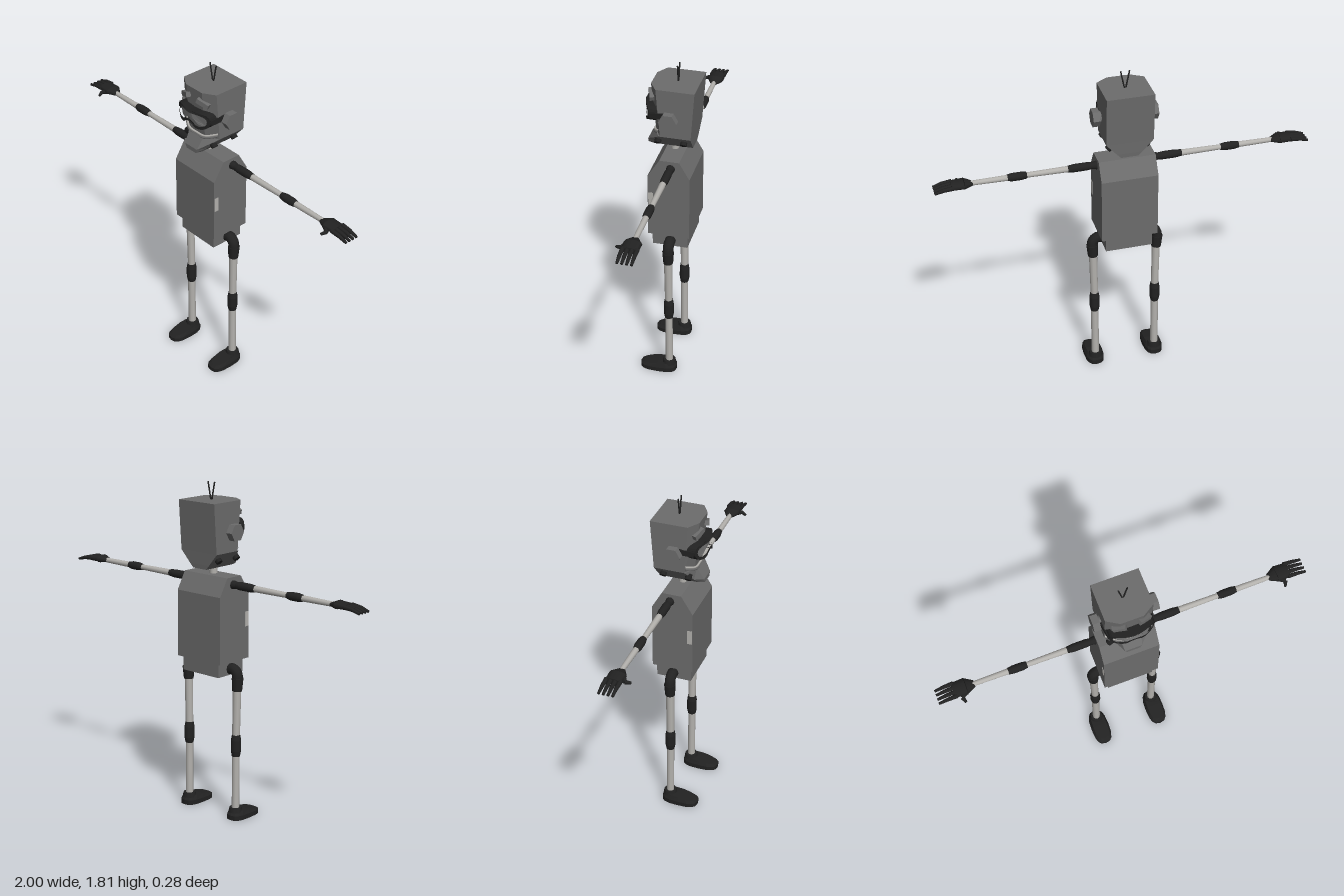
import * as THREE from 'three';

const mat = (name, color) => {
  const m = new THREE.MeshStandardMaterial({ color });
  m.name = name;
  return m;
};

// Closed solid from stacked rings, counterclockwise from above, bottom first
function loft(rings) {
  const pos = [];
  const tri = (a, b, c) => pos.push(...a, ...b, ...c);
  const n = rings[0].length;
  for (let r = 0; r < rings.length - 1; r++) {
    const a = rings[r], b = rings[r + 1];
    for (let i = 0; i < n; i++) {
      const j = (i + 1) % n;
      tri(a[i], a[j], b[j]);
      tri(a[i], b[j], b[i]);
    }
  }
  const top = rings[rings.length - 1], bottom = rings[0];
  for (let i = 1; i < n - 1; i++) {
    tri(top[0], top[i], top[i + 1]);
    tri(bottom[0], bottom[i + 1], bottom[i]);
  }
  const g = new THREE.BufferGeometry();
  g.setAttribute('position', new THREE.Float32BufferAttribute(pos, 3));
  g.computeVertexNormals();
  return g;
}

export function createModel() {
  const model = new THREE.Group();
  model.name = 'robot';
  const grey = mat('bodyGrey', 0x6c6c6c);
  const dark = mat('rubberBlack', 0x222222);
  const light = mat('limbSilver', 0xb4b2ae);

  const add = (name, geo, material) => {
    const m = new THREE.Mesh(geo, material);
    m.name = name;
    model.add(m);
    return m;
  };
  const box = (name, w, h, d, x, y, z, material) => {
    const m = add(name, new THREE.BoxGeometry(w, h, d), material);
    m.position.set(x, y, z);
    return m;
  };
  // Tapered round bar from a to b; flat squashes its section
  const rod = (name, a, b, ra, rb, material, flat = 1, sides = 10) => {
    const p = new THREE.Vector3(...a), q = new THREE.Vector3(...b);
    const d = q.clone().sub(p);
    const g = new THREE.CylinderGeometry(rb, ra, d.length(), sides);
    g.scale(flat, 1, 1);
    const m = add(name, g, material);
    m.position.copy(p).add(q).multiplyScalar(0.5);
    m.quaternion.setFromUnitVectors(new THREE.Vector3(0, 1, 0), d.normalize());
    return m;
  };
  // Sleeve with bevelled ends
  const sleeve = (name, a, b, r) => {
    const p = new THREE.Vector3(...a), q = new THREE.Vector3(...b);
    const at = (t) => p.clone().lerp(q, t).toArray();
    rod(name + 'Start', a, at(0.25), r * 0.8, r, dark);
    rod(name, at(0.25), at(0.75), r, r, dark);
    rod(name + 'End', at(0.75), b, r, r * 0.8, dark);
  };

  // Torso: bevelled shoulders, extruded across
  const profile = new THREE.Shape([[-0.098, 0.875], [0.125, 0.875], [0.125, 1.235], [0.07, 1.33], [-0.035, 1.33], [-0.098, 1.23]]
    .map(([x, y]) => new THREE.Vector2(x, y)));
  const torso = new THREE.ExtrudeGeometry(profile, { depth: 0.304, bevelEnabled: false });
  torso.translate(0, 0, -0.152).rotateY(Math.PI / 2);
  add('torso', torso, grey);
  box('pelvis', 0.254, 0.08, 0.19, 0, 0.838, -0.015, grey);
  rod('neck', [0, 1.31, -0.01], [0, 1.42, -0.01], 0.021, 0.021, light);

  // Head with a faceted face and a tapering, jutting jaw
  const section = (y, w, c, back, side, front) => [
    [w, y, side], [w, y, back], [-w, y, back], [-w, y, side], [-c, y, front], [c, y, front]];
  add('jaw', loft([
    section(1.367, 0.046, 0.035, -0.116, 0.09, 0.122),
    section(1.39, 0.067, 0.045, -0.118, 0.075, 0.122),
    section(1.455, 0.125, 0.055, -0.122, 0.045, 0.085)]), grey);
  add('head', loft([
    section(1.455, 0.125, 0.055, -0.122, 0.038, 0.075),
    section(1.72, 0.125, 0.06, -0.14, 0.06, 0.1)]), grey);

  // Smile
  const smile = (dy, dz) => new THREE.CatmullRomCurve3(
    [[-0.123, 1.487, 0.045], [-0.06, 1.463, 0.08], [0, 1.458, 0.081], [0.06, 1.463, 0.08], [0.123, 1.487, 0.045]]
      .map(([x, y, z]) => new THREE.Vector3(x, y + dy, z + dz)));
  add('teeth', new THREE.TubeGeometry(smile(0, 0), 16, 0.006, 6), light);
  add('lip', new THREE.TubeGeometry(smile(-0.011, 0.002), 16, 0.006, 6), grey);

  // Goggles: bent frame and lens
  const outline = (half) => {
    const pts = [...half, ...half.slice(1, -1).reverse().map(([x, y]) => [-x, y])];
    return new THREE.CatmullRomCurve3(pts.map(([x, y]) => new THREE.Vector3(x, y, 0)), true)
      .getPoints(48).slice(0, -1).map((p) => new THREE.Vector2(p.x, p.y));
  };
  const bend = (g, z) => {
    const p = g.attributes.position;
    for (let i = 0; i < p.count; i++) p.setZ(i, p.getZ(i) + z - 0.04 * (p.getX(i) / 0.118) ** 2);
    g.computeVertexNormals();
    return g;
  };
  const outer = outline([[0, 1.612], [0.07, 1.615], [0.112, 1.6], [0.118, 1.56], [0.09, 1.528], [0.045, 1.525], [0.02, 1.543], [0, 1.549]]);
  const inner = outline([[0, 1.599], [0.07, 1.601], [0.1, 1.589], [0.103, 1.561], [0.084, 1.542], [0.05, 1.54], [0.027, 1.557], [0, 1.563]]);
  const frame = new THREE.Shape(outer);
  frame.holes.push(new THREE.Path(inner));
  add('goggleFrame', bend(new THREE.ExtrudeGeometry(frame, { depth: 0.045, bevelEnabled: false }), 0.093), dark);
  add('goggleLens', bend(new THREE.ExtrudeGeometry(new THREE.Shape(inner), { depth: 0.005, bevelEnabled: false }), 0.118), grey);

  // Foot outline scaled by k, top dropping toward the toe
  const footRing = (k, y, drop) => Array.from({ length: 16 }, (_, i) => {
    const a = (i / 16) * Math.PI * 2;
    const round = (v) => Math.sign(v) * Math.abs(v) ** 0.7;
    const z = -round(Math.sin(a));
    return [0.052 * k * round(Math.cos(a)), y - drop * Math.max(0, z + 0.2), 0.0375 + 0.102 * k * z];
  });

  for (const s of [1, -1]) {
    // Antenna, ear bolt, strap, brow, jaw bolts
    rod('antenna', [s * 0.003, 1.715, -0.027], [s * 0.023, 1.812, -0.027], 0.004, 0.004, dark, 1, 6);
    rod('earWasher', [s * 0.12, 1.563, -0.012], [s * 0.137, 1.563, -0.012], 0.03, 0.03, grey);
    const ear = rod('earBolt', [s * 0.135, 1.563, -0.012], [s * 0.172, 1.563, -0.012], 0.048, 0.048, grey, 1, 6);
    ear.material = grey;
    ear.geometry = ear.geometry.toNonIndexed();
    ear.geometry.computeVertexNormals();
    const strap = box('goggleStrap', 0.008, 0.03, 0.085, s * 0.124, 1.572, 0.05, dark);
    strap.rotation.set(0.12, -s * 0.15, 0);
    const brow = box('brow', 0.07, 0.026, 0.025, s * 0.065, 1.662, 0.096, grey);
    brow.rotation.set(0, s * 0.35, -s * 0.35);
    for (const z of [0.055, -0.08]) rod('jawBolt', [s * 0.085, 1.43, z], [s * 0.108, 1.408, z], 0.018, 0.018, dark, 1, 8);

    // Side badge on the torso
    box('sideBadge', 0.004, 0.08, 0.025, s * 0.152, 1.09, 0.082, light);

    // Arm
    const arm = (x) => [s * x, 1.29, -0.025];
    rod('shoulderSocket', arm(0.15), arm(0.18), 0.024, 0.019, dark);
    sleeve('shoulder', arm(0.17), arm(0.305), 0.022);
    rod('upperArm', arm(0.3), arm(0.53), 0.017, 0.014, light);
    sleeve('elbow', arm(0.52), arm(0.62), 0.022);
    rod('forearm', arm(0.61), arm(0.82), 0.016, 0.013, light);

    // Hand: wrist, palm, fingers and thumb
    rod('wrist', [s * 0.8, 1.29, -0.025], [s * 0.845, 1.295, -0.026], 0.019, 0.045, dark, 0.5);
    rod('palm', [s * 0.845, 1.295, -0.026], [s * 0.91, 1.294, -0.027], 0.046, 0.042, dark, 0.42);
    for (let i = 0; i < 4; i++) {
      const z = -0.062 + i * 0.0235;
      rod('fingerBase', [s * 0.9, 1.297, z], [s * 0.955, 1.291, z], 0.012, 0.01, dark, 1, 8);
      rod('fingerTip', [s * 0.953, 1.291, z], [s * 0.998, 1.278, z], 0.01, 0.007, dark, 1, 8);
    }
    rod('thumbBase', [s * 0.845, 1.292, 0], [s * 0.88, 1.285, 0.022], 0.013, 0.011, dark, 1, 8);
    rod('thumbTip', [s * 0.88, 1.285, 0.022], [s * 0.868, 1.278, 0.05], 0.011, 0.007, dark, 1, 8);

    // Leg: bent hip sleeve, thigh, knee, shin
    const hip = new THREE.CatmullRomCurve3([[0.12, 0.83], [0.15, 0.835], [0.175, 0.815], [0.18, 0.775]]
      .map(([x, y]) => new THREE.Vector3(s * x, y, -0.018)));
    add('hip', new THREE.TubeGeometry(hip, 10, 0.029, 10), dark);
    rod('hipCuff', [s * 0.18, 0.79, -0.018], [s * 0.177, 0.72, -0.018], 0.032, 0.027, dark);
    rod('thigh', [s * 0.176, 0.73, -0.018], [s * 0.172, 0.46, -0.02], 0.023, 0.021, light);
    sleeve('knee', [s * 0.172, 0.475, -0.02], [s * 0.172, 0.355, -0.02], 0.028);
    rod('shin', [s * 0.172, 0.37, -0.02], [s * 0.172, 0.05, -0.022], 0.021, 0.021, light);

    // Shoe
    const shoe = add('shoe', loft([footRing(1, 0, 0), footRing(1, 0.026, 0.004), footRing(0.8, 0.05, 0.015)]), dark);
    shoe.position.x = s * 0.172;
    rod('ankleCuff', [s * 0.172, 0.04, -0.022], [s * 0.172, 0.064, -0.022], 0.04, 0.034, dark);
  }
  return model;
}
